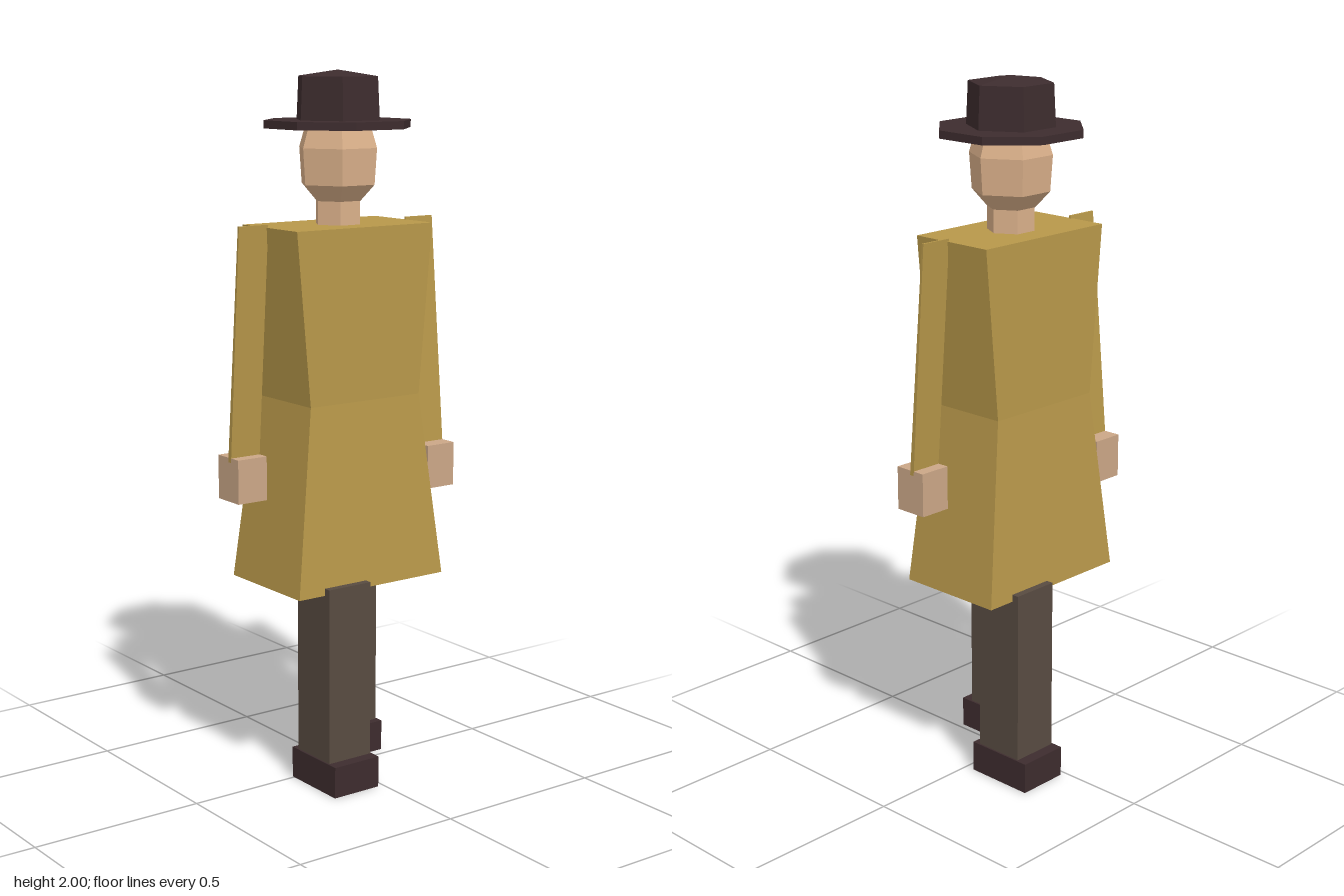
import * as THREE from 'three';

const paint = (name, color) => {
  const m = new THREE.MeshStandardMaterial({ color, flatShading: true });
  m.name = name;
  return m;
};

// Box-like loft: each ring is [y, xMin, xMax, zMin, zMax], bottom to top
function loft(rings) {
  const n = rings.length - 1;
  const g = new THREE.BoxGeometry(1, 1, 1, 1, n, 1);
  const p = g.attributes.position;
  for (let i = 0; i < p.count; i++) {
    const [y, x0, x1, z0, z1] = rings[Math.round((p.getY(i) + 0.5) * n)];
    p.setXYZ(i, p.getX(i) > 0 ? x1 : x0, y, p.getZ(i) > 0 ? z1 : z0);
  }
  g.computeVertexNormals();
  return g;
}

// Faceted solid of revolution: points are [radius, y], bottom to top
function turned(points, sides, turn) {
  const g = new THREE.LatheGeometry(points.map(([r, y]) => new THREE.Vector2(r, y)), sides);
  return g.rotateY(turn);
}

export function createModel() {
  const coat = paint('mustard coat', 0xb8984a);
  const trousers = paint('brown trousers', 0x584b41);
  const dark = paint('dark hat and shoes', 0x3d2c2e);
  const face = paint('face skin', 0xdab08a);
  const handSkin = paint('hand skin', 0xcba787);

  const model = new THREE.Group();
  const CZ = -0.018; // body axis
  const add = (name, geometry, material, parent = model) => {
    const mesh = new THREE.Mesh(geometry, material);
    mesh.name = name;
    parent.add(mesh);
    return mesh;
  };

  // Body group is centred on its own axis, so limbs can be turned half way round
  const body = new THREE.Group();
  body.name = 'body';
  body.position.z = CZ;
  model.add(body);

  // Long coat, narrow at the waist and flared at the hem
  add('coat', loft([
    [0.575, -0.25, 0.25, -0.164, 0.164],
    [1.1, -0.187, 0.187, -0.131, 0.131],
    [1.58, -0.23, 0.23, -0.131, 0.131],
  ]), coat, body);

  // Neck and head
  const HEX = Math.PI / 2;
  add('neck', turned([[0, 1.57], [0.067, 1.57], [0.067, 1.66], [0, 1.66]], 6, HEX), face, body);
  add('head', turned([
    [0, 1.645], [0.068, 1.645], [0.11, 1.69], [0.117, 1.79], [0.098, 1.85], [0, 1.85],
  ], 6, HEX), face, body);

  // Hat
  add('hatBrim', turned([[0, 1.843], [0.208, 1.843], [0.208, 1.865], [0, 1.865]], 8, Math.PI / 8), dark, body);
  add('hatCrown', turned([[0, 1.86], [0.125, 1.86], [0.119, 1.983], [0, 2]], 6, HEX), dark, body);

  // Limbs: the left side steps back with its arm forward, the right side is the same turned round
  for (const side of ['left', 'right']) {
    const limbs = new THREE.Group();
    limbs.name = side + 'Limbs';
    if (side === 'right') limbs.rotation.y = Math.PI;
    body.add(limbs);

    // Thin slanted sleeve and block hand
    add(side + 'Sleeve', loft([
      [0.93, 0.225, 0.32, 0.064, 0.078],
      [1.588, 0.225, 0.32, 0.012, 0.018],
    ]), coat, limbs);
    add(side + 'Hand', loft([
      [0.818, 0.225, 0.32, 0.028, 0.128],
      [0.943, 0.225, 0.32, 0.028, 0.128],
    ]), handSkin, limbs);

    // Leg and shoe
    add(side + 'Leg', loft([
      [0.08, 0.022, 0.164, -0.184, -0.033],
      [0.595, 0.022, 0.164, -0.184, -0.033],
    ]), trousers, limbs);
    add(side + 'Shoe', loft([
      [0, 0.017, 0.169, -0.196 - 0.034 + 0.035, 0.011],
      [0.09, 0.017, 0.169, -0.196, 0.011],
    ]).translate(0, 0, 0), dark, limbs);
  }

  // Shoes extend slightly past the trouser cuffs
  for (const side of ['left', 'right']) {
    const shoe = model.getObjectByName(side + 'Shoe');
    shoe.position.z = -0.022;
  }
  return model;
}
